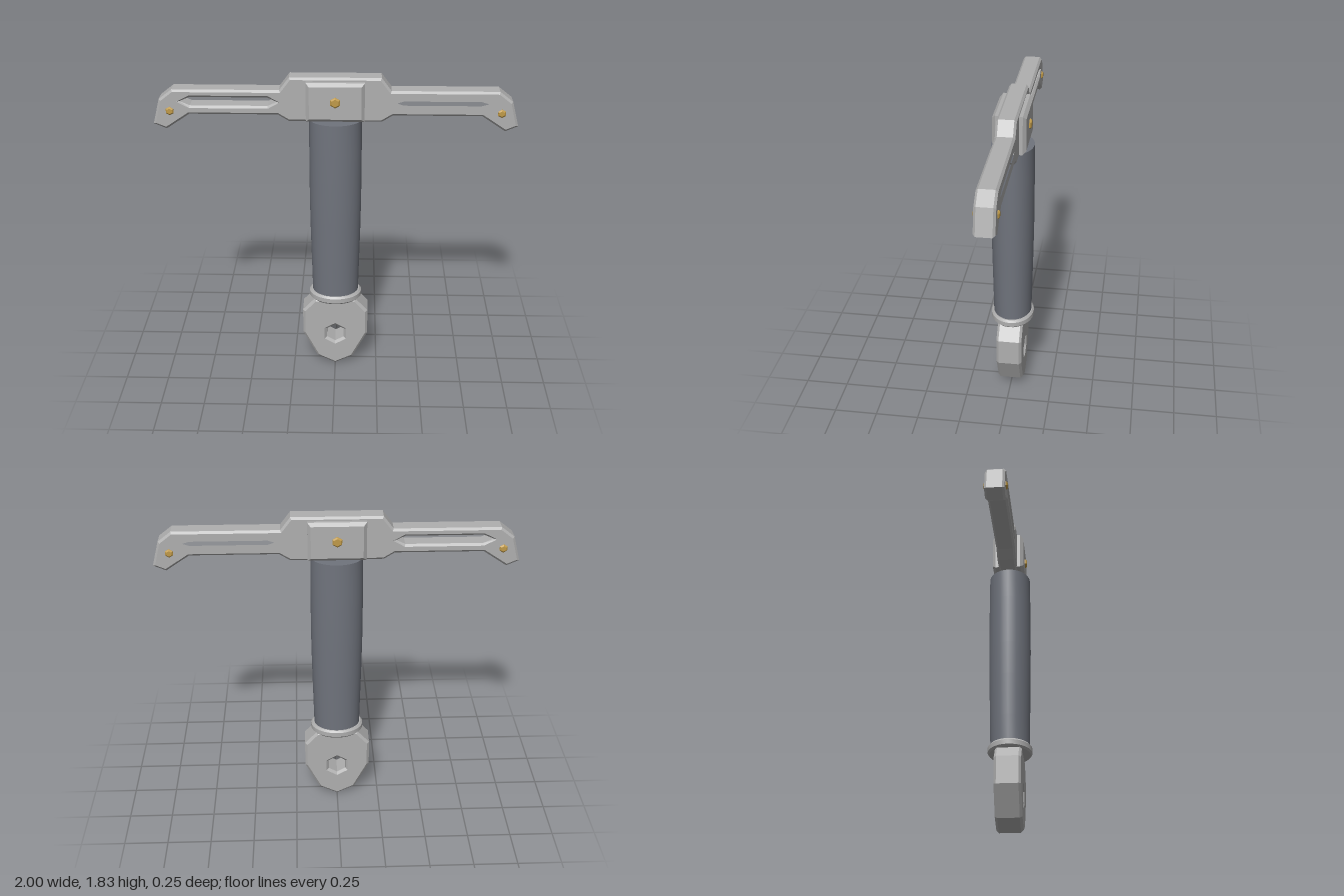
import * as THREE from 'three';
import { toCreasedNormals } from 'three/addons/utils/BufferGeometryUtils.js';

const material = (name, color) => {
  const m = new THREE.MeshStandardMaterial({ color });
  m.name = name;
  return m;
};

const toPoints = (pairs) => pairs.map(([x, y]) => new THREE.Vector2(x, y));

// Mirrors a half outline (x >= 0, listed top to bottom) into a closed one
const mirrored = (half) => [
  ...half,
  ...half.filter(([x]) => x > 0).reverse().map(([x, y]) => [-x, y]),
];

// Hexagon with a point at the top
const hexagon = (r, cy) => Array.from({ length: 6 }, (_, i) => {
  const a = Math.PI / 2 + (i * Math.PI) / 3;
  return [r * Math.cos(a), cy + r * Math.sin(a)];
});

// Chamfered plate centred on z = 0; the outline is its widest section
function plate(outline, holes, halfDepth, bevel) {
  const shape = new THREE.Shape(toPoints(outline));
  holes.forEach((h) => shape.holes.push(new THREE.Path(toPoints(h))));
  const geo = new THREE.ExtrudeGeometry(shape, {
    depth: 2 * (halfDepth - bevel),
    bevelEnabled: true,
    bevelThickness: bevel,
    bevelSize: bevel,
    bevelOffset: -bevel,
    bevelSegments: 1,
  });
  return geo.translate(0, 0, bevel - halfDepth);
}

// Oval turned part
function turned(profile, zScale) {
  const geo = new THREE.LatheGeometry(toPoints(profile), 32);
  geo.scale(1, 1, zScale);
  return toCreasedNormals(geo, 0.5);
}

export function createModel() {
  const group = new THREE.Group();
  const steel = material('steel', 0xb0b0b0);
  const grip = material('grip', 0x70747d);
  const brass = material('brass', 0xc09a48);

  const add = (name, geo, mat) => {
    const mesh = new THREE.Mesh(geo, mat);
    mesh.name = name;
    group.add(mesh);
    return mesh;
  };

  // Crossguard with a long slot in each arm
  const guard = mirrored([
    [0.25, 1.83], [0.305, 1.757], [0.89, 1.757], [0.963, 1.70], [1.0, 1.56],
    [0.93, 1.53], [0.80, 1.617], [0.315, 1.617], [0.255, 1.58],
  ]);
  const slot = [
    [0.32, 1.69], [0.37, 1.714], [0.795, 1.714],
    [0.85, 1.69], [0.795, 1.666], [0.37, 1.666],
  ];
  const otherSlot = slot.map(([x, y]) => [-x, y]);
  add('crossguard', plate(guard, [slot, otherSlot], 0.054, 0.012), steel);

  // Raised block in the middle of the guard
  const block = [[-0.16, 1.59], [0.16, 1.59], [0.16, 1.81], [-0.16, 1.81]];
  add('centreBlock', plate(block, [], 0.092, 0.018), steel);

  // Hexagonal bolts passing through block and arm tips
  const bolt = (name, x, y, r, halfDepth) => {
    add(name, plate(hexagon(r, 0), [], halfDepth, 0.007), brass).position.set(x, y, 0);
  };
  bolt('centreBolt', 0, 1.705, 0.03, 0.104);
  bolt('leftTipBolt', 0.905, 1.637, 0.024, 0.064);
  bolt('rightTipBolt', -0.905, 1.637, 0.024, 0.064);

  // Oval grip, narrowing towards the collar
  add('handle', turned([
    [0, 0.48], [0.134, 0.48], [0.138, 0.65], [0.144, 0.9], [0.147, 1.1],
    [0.147, 1.4], [0.145, 1.58], [0, 1.58],
  ], 0.83), grip);

  // Collar ring under the grip
  add('collar', turned([
    [0, 0.453], [0.143, 0.453], [0.154, 0.464], [0.154, 0.491],
    [0.143, 0.502], [0, 0.502],
  ], 0.82), steel);

  // Pommel with a hexagonal hole
  const pommel = mirrored([
    [0.12, 0.46], [0.193, 0.38], [0.193, 0.222], [0.107, 0.055], [0, 0.003],
  ]);
  add('pommel', plate(pommel, [hexagon(0.058, 0.22)], 0.075, 0.014), steel);

  return group;
}
